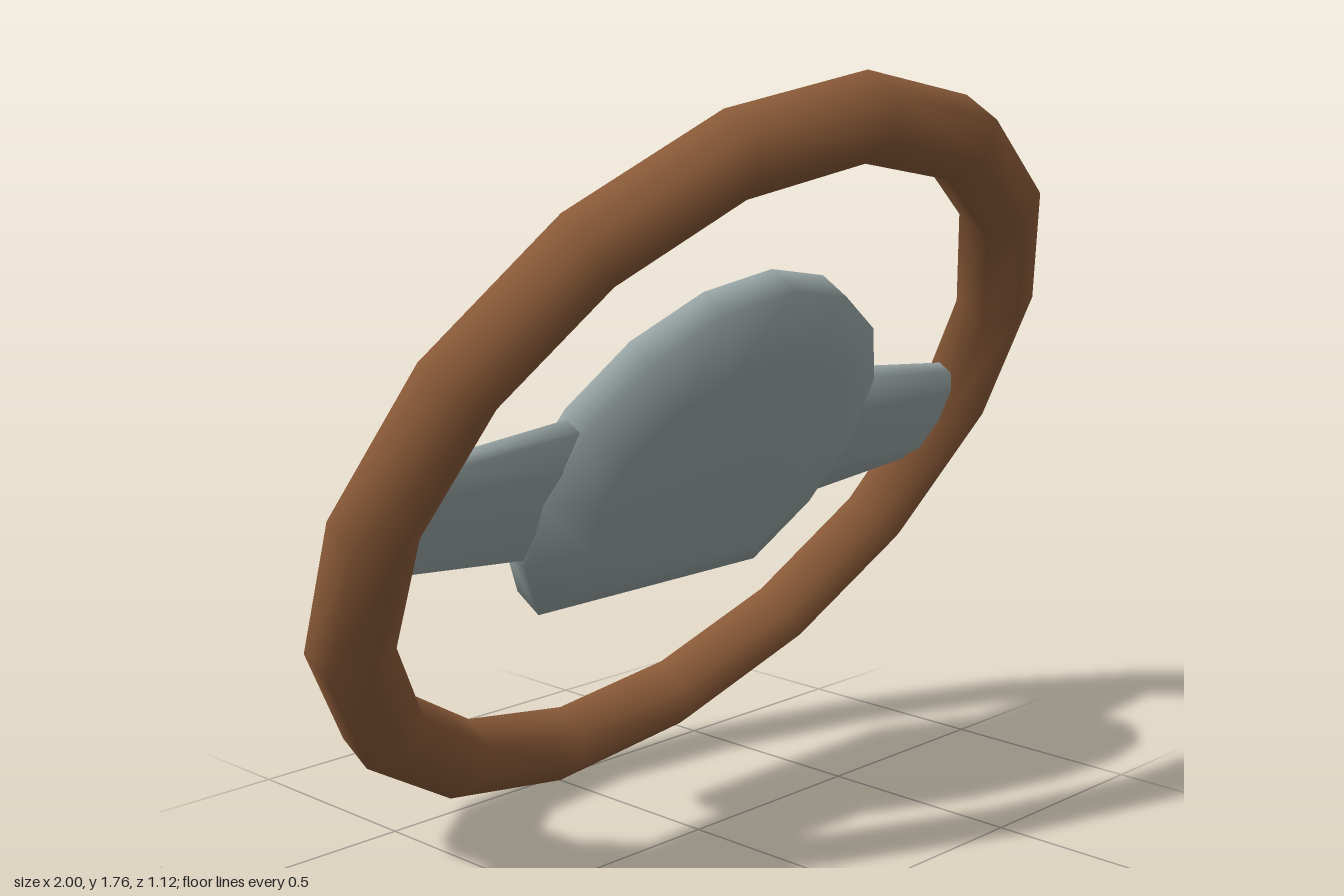
import * as THREE from 'three';
import { mergeVertices } from 'three/addons/utils/BufferGeometryUtils.js';

// weld all corners so the shading is smooth
function smooth(geometry) {
  geometry.deleteAttribute('normal');
  geometry.deleteAttribute('uv');
  const welded = mergeVertices(geometry, 1e-4);
  welded.computeVertexNormals();
  return welded;
}

// closed solid through rings of equal length (counterclockwise seen from the last ring)
function loft(rings) {
  const n = rings[0].length;
  const index = [];
  for (let r = 0; r < rings.length - 1; r++) {
    for (let i = 0; i < n; i++) {
      const a = r * n + i, b = r * n + (i + 1) % n;
      index.push(a, b, b + n, a, b + n, a + n);
    }
  }
  const last = (rings.length - 1) * n;
  for (let i = 1; i < n - 1; i++) {
    index.push(0, i + 1, i, last, last + i, last + i + 1);
  }
  const geometry = new THREE.BufferGeometry();
  geometry.setAttribute('position', new THREE.Float32BufferAttribute(rings.flat(2), 3));
  geometry.setIndex(index);
  geometry.computeVertexNormals();
  return geometry;
}

export function createModel() {
  const wood = new THREE.MeshStandardMaterial({ color: 0x8a5a38 });
  wood.name = 'brown wood';
  const metal = new THREE.MeshStandardMaterial({ color: 0x9aa6a6 });
  metal.name = 'grey metal';

  const wheel = new THREE.Group();
  wheel.name = 'steeringWheel';
  const add = (name, geometry, material) => {
    const mesh = new THREE.Mesh(geometry, material);
    mesh.name = name;
    wheel.add(mesh);
  };

  // rim: six-sided tube in sixteen segments, flat side outward
  const profile = [[1, -0.048], [1, 0.048], [0.918, 0.085], [0.836, 0.048], [0.836, -0.048], [0.918, -0.085], [1, -0.048]]
    .map(([r, z]) => new THREE.Vector2(r, z));
  add('rim', smooth(new THREE.LatheGeometry(profile, 16).rotateX(Math.PI / 2)), wood);

  // hub: disc cut flat along the bottom, with a broad bevel on both faces
  const hubRing = (rx, ry, z) => {
    const ring = [];
    for (let i = -2; i <= 10; i++) {
      const a = i * Math.PI / 8;
      ring.push([rx * Math.cos(a), ry * Math.sin(a), z]);
    }
    return ring;
  };
  add('hub', loft([
    hubRing(0.38, 0.35, -0.08), hubRing(0.497, 0.5, -0.047),
    hubRing(0.497, 0.5, 0.034), hubRing(0.37, 0.34, 0.08),
  ]), metal);

  // spokes: thin bars with bevelled edges, narrower and squarer at the rim
  const spokeRing = (x, halfWidth, edge, flat, thick) => [
    [x, halfWidth, edge], [x, flat, thick], [x, -flat, thick], [x, -halfWidth, edge],
    [x, -halfWidth, -edge], [x, -flat, -thick], [x, flat, -thick], [x, halfWidth, -edge],
  ];
  const spoke = loft([spokeRing(0.42, 0.183, 0.023, 0.085, 0.039), spokeRing(0.88, 0.13, 0.02, 0.09, 0.041)]);
  spoke.translate(0, 0, -0.006);
  add('leftSpoke', spoke, metal);
  add('rightSpoke', spoke.clone().rotateZ(Math.PI), metal);

  // lean the wheel so its top comes forward
  wheel.rotation.x = THREE.MathUtils.degToRad(31.2);
  wheel.position.y = 0.882;
  const model = new THREE.Group();
  model.name = 'model';
  model.add(wheel);
  return model;
}
